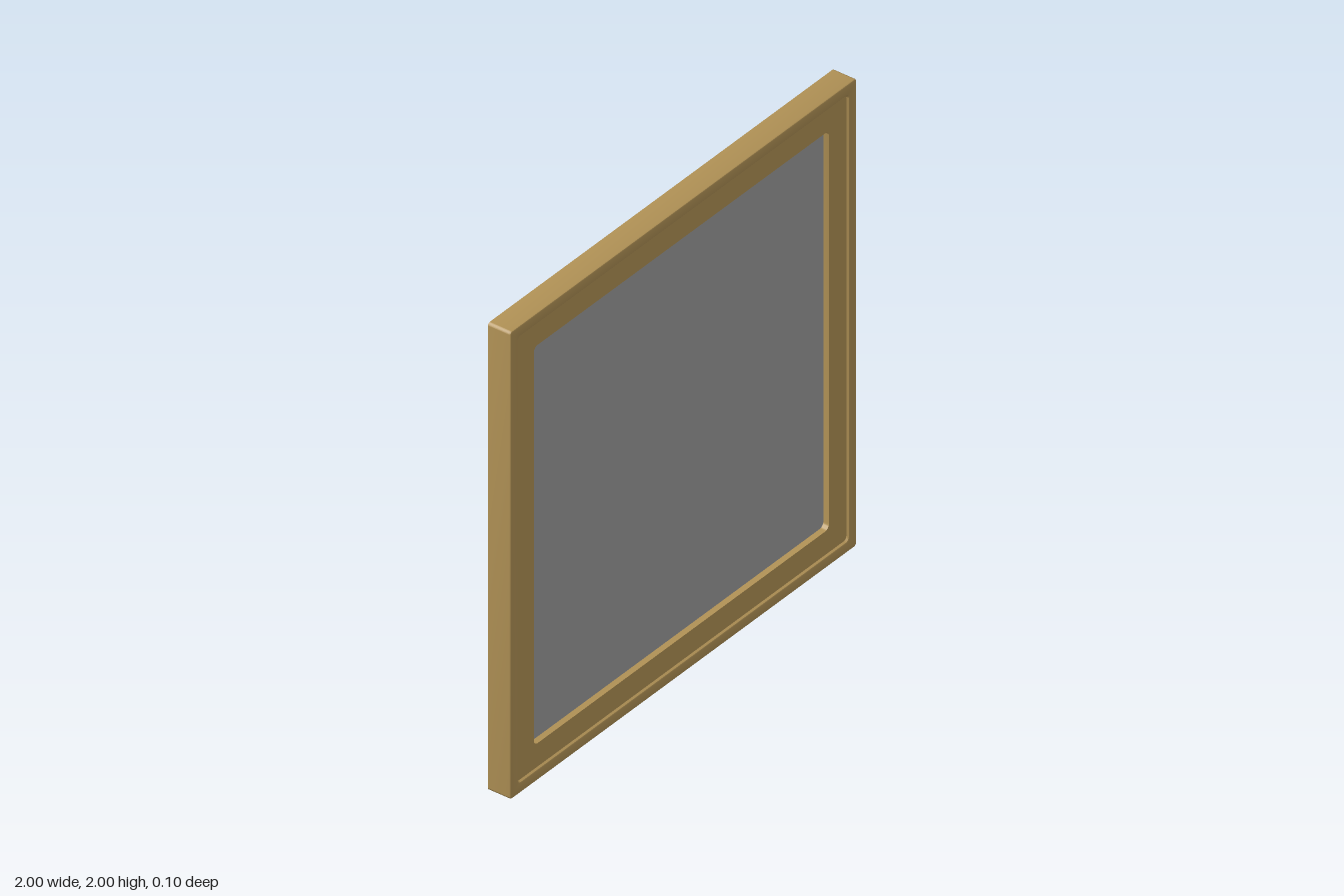
import * as THREE from 'three';
import { toCreasedNormals } from 'three/addons/utils/BufferGeometryUtils.js';

// Counter-clockwise outline of a rounded square centred on (0, 1)
function outline(half, radius) {
  const points = [], steps = 6, c = half - radius;
  [[1, 1], [-1, 1], [-1, -1], [1, -1]].forEach(([sx, sy], k) => {
    for (let i = 0; i <= steps; i++) {
      const a = (k + i / steps) * Math.PI / 2;
      points.push(new THREE.Vector2(sx * c + radius * Math.cos(a), 1 + sy * c + radius * Math.sin(a)));
    }
  });
  return points;
}

// Skin through successive rounded squares [half, radius, z], from back to front
function loft(sections) {
  const rings = sections.map(([half, radius]) => outline(half, radius));
  const n = rings[0].length, positions = [], index = [];
  rings.forEach((ring, r) => ring.forEach(p => positions.push(p.x, p.y, sections[r][2])));
  for (let r = 0; r < rings.length - 1; r++) {
    for (let i = 0; i < n; i++) {
      const j = (i + 1) % n, a = r * n + i, b = r * n + j;
      index.push(a, b, b + n, a, b + n, a + n);
    }
  }
  const geometry = new THREE.BufferGeometry();
  geometry.setAttribute('position', new THREE.Float32BufferAttribute(positions, 3));
  geometry.setIndex(index);
  return toCreasedNormals(geometry, 0.6);
}

export function createModel() {
  const frameColor = new THREE.MeshStandardMaterial({ color: 0xb09155 });
  frameColor.name = 'tan frame';
  const panelColor = new THREE.MeshStandardMaterial({ color: 0x9c9c9c });
  panelColor.name = 'grey panel';

  const group = new THREE.Group();
  const add = (name, geometry, material) => {
    const mesh = new THREE.Mesh(geometry, material);
    mesh.name = name;
    group.add(mesh);
    return mesh;
  };

  // Sides, softened front edge, rim, small step, flat border and opening walls
  add('frame', loft([
    [1, 0.012, -0.05],
    [1, 0.012, 0.044],
    [0.998, 0.011, 0.048],
    [0.994, 0.01, 0.05],
    [0.96, 0.02, 0.05],
    [0.956, 0.018, 0.048],
    [0.952, 0.016, 0.04],
    [0.852, 0.022, 0.04],
    [0.852, 0.022, 0.015],
  ]), frameColor);

  // Flat back
  const back = add('back', new THREE.ShapeGeometry(new THREE.Shape(outline(1, 0.012))), frameColor);
  back.position.set(0, 2, -0.05);
  back.rotation.x = Math.PI;

  // Recessed panel filling the opening
  const panel = add('panel', new THREE.ShapeGeometry(new THREE.Shape(outline(0.852, 0.022))), panelColor);
  panel.position.z = 0.015;

  return group;
}
